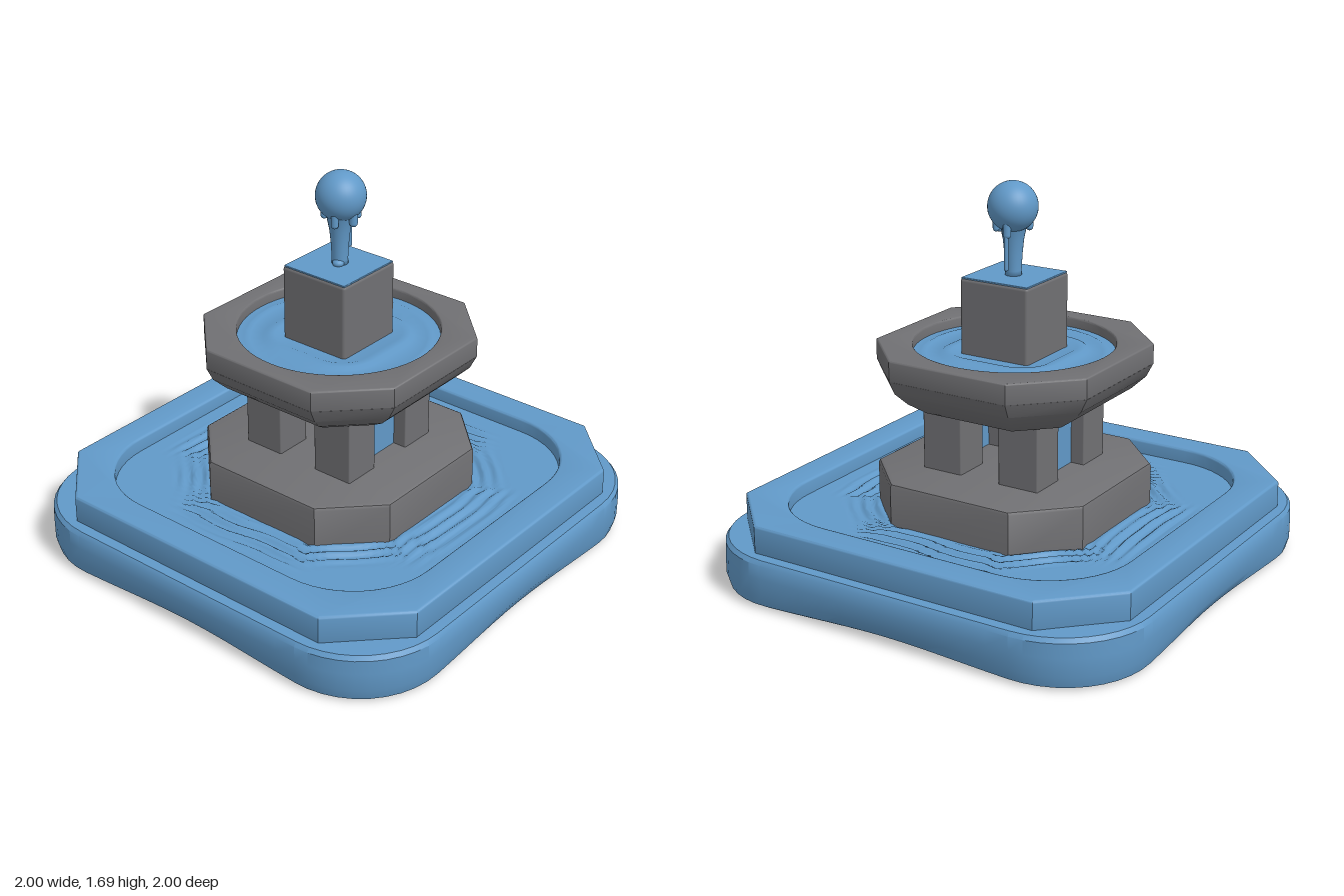
import * as THREE from 'three';
import { toCreasedNormals } from 'three/addons/utils/BufferGeometryUtils.js';
import { RoundedBoxGeometry } from 'three/addons/geometries/RoundedBoxGeometry.js';

// Square outline of half width h with corners of radius r; seg 1 gives plain chamfers
function outline(h, r, seg = 10, side = 1) {
  const corners = [];
  for (let q = 0; q < 4; q++) {
    const mid = (q + 0.5) * Math.PI / 2;
    const cx = Math.sign(Math.cos(mid)) * (h - r), cz = Math.sign(Math.sin(mid)) * (h - r);
    for (let i = 0; i <= seg; i++) {
      const a = (q + i / seg) * Math.PI / 2;
      corners.push(new THREE.Vector2(cx + r * Math.cos(a), cz + r * Math.sin(a)));
    }
  }
  // subdivide the straight sides
  const pts = [];
  corners.forEach((p, i) => {
    pts.push(p);
    if (i % (seg + 1) === seg) {
      const next = corners[(i + 1) % corners.length];
      for (let k = 1; k < side; k++) pts.push(p.clone().lerp(next, k / side));
    }
  });
  return pts;
}

// Skin over rings [halfWidth, cornerRadius, y]; warp may move each point
function loft(rings, seg, side, warp, crease = 0.6) {
  const pos = [], idx = [];
  let n = 0;
  rings.forEach(([h, r, y], i) => {
    const pts = outline(h, r, seg, side);
    n = pts.length;
    for (const p of pts) {
      const v = new THREE.Vector3(p.x, y, p.y);
      if (warp) warp(v, i);
      pos.push(v.x, v.y, v.z);
    }
  });
  for (let i = 0; i < rings.length - 1; i++) {
    for (let j = 0; j < n; j++) {
      const a = i * n + j, b = i * n + (j + 1) % n, c = a + n, d = b + n;
      idx.push(a, c, b, b, c, d);
    }
  }
  const g = new THREE.BufferGeometry();
  g.setAttribute('position', new THREE.Float32BufferAttribute(pos, 3));
  g.setIndex(idx);
  return toCreasedNormals(g, crease);
}

// Upright slab with a hole, from y0 to y1
function ringSlab(outer, inner, y0, y1, bevel) {
  const shape = new THREE.Shape(outer);
  shape.holes.push(new THREE.Path(inner));
  const g = new THREE.ExtrudeGeometry(shape, {
    depth: y1 - y0 - 2 * bevel, bevelEnabled: true, bevelSize: bevel,
    bevelThickness: bevel, bevelOffset: -bevel, bevelSegments: 3, curveSegments: 1,
  });
  g.rotateX(-Math.PI / 2).translate(0, y0 + bevel, 0);
  return toCreasedNormals(g, 0.6);
}

export function createModel() {
  const group = new THREE.Group();
  const blue = new THREE.MeshStandardMaterial({ color: 0x6199c8 });
  blue.name = 'water blue';
  const grey = new THREE.MeshStandardMaterial({ color: 0x707073 });
  grey.name = 'stone grey';
  const add = (name, geo, mat, x = 0, y = 0, z = 0) => {
    const m = new THREE.Mesh(geo, mat);
    m.name = name;
    m.position.set(x, y, z);
    group.add(m);
    return m;
  };

  // Lower basin step, its underside lifting gently between the corners
  add('basinBase', loft([
    [0.001, 0.0004, 0], [0.97, 0.39, 0], [0.99, 0.4, 0.012], [1, 0.4, 0.06],
    [1, 0.4, 0.14], [0.998, 0.4, 0.2], [0.985, 0.39, 0.218], [0.9, 0.36, 0.22], [0.001, 0.0004, 0.22],
  ], 10, 12, (v, i) => {
    if (i < 1 || i > 3) return;
    const mid = Math.cos(2 * Math.atan2(v.z, v.x)) ** 2;
    v.y += 0.018 * mid;
    const s = 1 - 0.02 * mid * (i < 3 ? 1 : 0.3);
    v.x *= s;
    v.z *= s;
  }), blue);

  // Raised rim with chamfered corners and a rounded opening
  add('basinRim', ringSlab(outline(0.94, 0.27, 1), outline(0.8, 0.38, 12), 0.21, 0.34, 0.012), blue);

  // Pool surface with wandering ripples around the plinth
  const poolRings = [];
  for (let i = 0; i <= 60; i++) {
    const h = 0.82 - 0.42 * i / 60;
    poolRings.push([h, h * 0.5, 0.275]);
  }
  add('poolWater', loft(poolRings, 12, 10, (v) => {
    const a = Math.atan2(v.z, v.x);
    const h = Math.max(Math.abs(v.x), Math.abs(v.z), (Math.abs(v.x) + Math.abs(v.z)) * 0.72);
    const fade = Math.max(0, 1 - ((h - 0.62) / 0.12) ** 2);
    const phase = 1.5 * Math.sin(3 * a + 0.5) + 0.8 * Math.sin(7 * a) + 0.5 * Math.sin(13 * a);
    v.y += 0.009 * fade * Math.sin(h * 110 + phase);
  }, 2), blue);

  // Octagonal plinth
  add('plinth', loft([
    [0.51, 0.22, 0.24], [0.51, 0.22, 0.445], [0.506, 0.22, 0.456],
    [0.495, 0.215, 0.462], [0.001, 0.0004, 0.462],
  ], 1, 1), grey);

  // Four pillars
  for (const sx of [-1, 1]) {
    for (const sz of [-1, 1]) {
      add('pillar', new RoundedBoxGeometry(0.17, 0.32, 0.19, 2, 0.006), grey, sx * 0.19, 0.6, sz * 0.188);
    }
  }

  // Water sheets falling between the front and back pillars
  for (const sz of [-1, 1]) {
    add('waterSheet', new THREE.BoxGeometry(0.22, 0.3, 0.02), blue, 0, 0.6, sz * 0.21);
  }

  // Upper bowl: curved octagonal underside, then a rim with a round opening
  add('bowlUnderside', loft([
    [0.001, 0.0004, 0.735], [0.33, 0.13, 0.735], [0.355, 0.145, 0.742], [0.43, 0.18, 0.795],
    [0.485, 0.21, 0.85], [0.515, 0.235, 0.91], [0.001, 0.0004, 0.91],
  ], 1, 1), grey);
  add('bowlRim', ringSlab(outline(0.515, 0.235, 1), outline(0.43, 0.43, 16), 0.905, 1, 0.008), grey);

  // Bowl water with soft stepped rings
  add('bowlWater', loft([
    [0.435, 0.435, 0.955], [0.4, 0.4, 0.955], [0.385, 0.38, 0.96], [0.37, 0.36, 0.955],
    [0.285, 0.2, 0.957], [0.265, 0.17, 0.966], [0.23, 0.13, 0.966], [0.215, 0.12, 0.96], [0.1, 0.05, 0.96],
  ], 8, 2, null, 2), blue);

  // Central block and its wet top
  add('block', new RoundedBoxGeometry(0.33, 0.37, 0.33, 3, 0.014), grey, 0, 1.101, 0);
  add('blockTopWater', new RoundedBoxGeometry(0.32, 0.008, 0.32, 2, 0.003), blue, 0, 1.286, 0);

  // Water ball on its spout
  add('waterBall', new THREE.SphereGeometry(0.106, 40, 28), blue, 0.02, 1.583, -0.005);
  const spout = [[0, 1.284], [0.036, 1.284], [0.034, 1.31], [0.038, 1.38], [0.044, 1.44], [0.056, 1.5], [0.07, 1.53], [0, 1.54]];
  add('spout', new THREE.LatheGeometry(spout.map(([r, y]) => new THREE.Vector2(r, y)), 24), blue, 0.008, 0, 0);
  const foot = add('spoutFoot', new THREE.SphereGeometry(0.025, 16, 12), blue, -0.015, 1.298, 0.01);
  foot.scale.set(1, 0.7, 1);

  // Drips hanging from the ball: x, z, bottom, top, radius
  for (const [x, z, y0, y1, r] of [
    [0.095, -0.02, 1.325, 1.54, 0.01], [-0.05, 0.02, 1.465, 1.54, 0.016],
    [0.015, 0.065, 1.465, 1.54, 0.018], [-0.02, -0.06, 1.48, 1.54, 0.016],
    [0.07, 0.045, 1.48, 1.54, 0.014], [0.09, -0.02, 1.46, 1.55, 0.017],
  ]) {
    add('drip', new THREE.CapsuleGeometry(r, y1 - y0 - 2 * r, 6, 12), blue, x, (y0 + y1) / 2, z);
  }
  return group;
}
